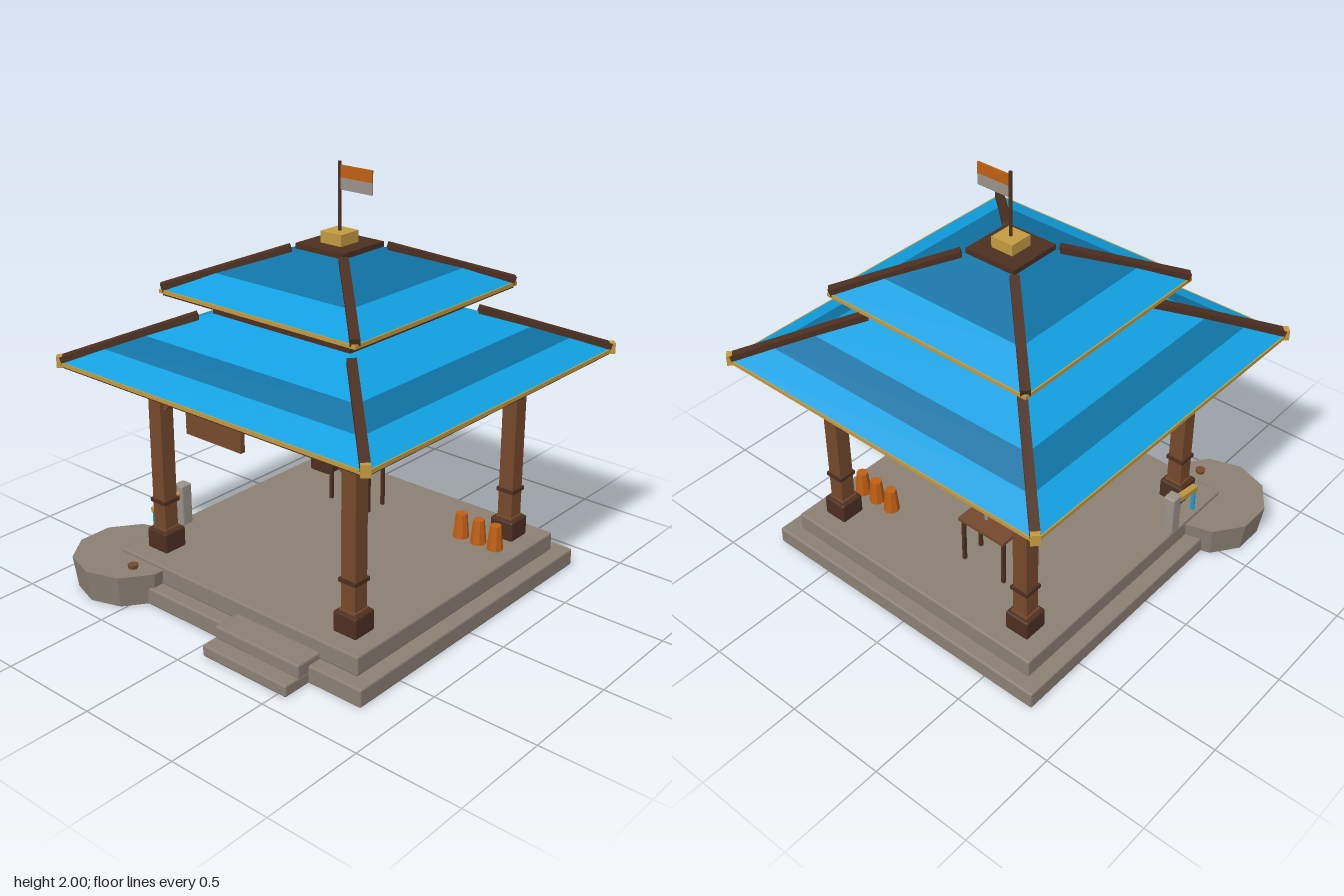
import * as THREE from 'three';
import { RoundedBoxGeometry } from 'three/addons/geometries/RoundedBoxGeometry.js';

const mat = (name, color) => new THREE.MeshStandardMaterial({ name, color, flatShading: true });

export function createModel() {
  const M = {
    stone: mat('stone', 0x8a7f73),
    paleStone: mat('pale stone', 0x9a928a),
    wood: mat('wood', 0x75492c),
    darkWood: mat('dark wood', 0x4c2f20),
    blue: mat('light blue roof', 0x109fdf),
    deepBlue: mat('deep blue roof', 0x0f72a3),
    gold: mat('gold', 0xc29a40),
    orange: mat('orange', 0xbf5f12),
  };
  const model = new THREE.Group();
  model.name = 'pavilion';

  // Everything symmetrical hangs on the pavilion axis
  const hall = new THREE.Group();
  hall.name = 'hall';
  hall.position.set(0.025, 0, -0.035);
  model.add(hall);

  const add = (parent, name, geo, material, x = 0, y = 0, z = 0) => {
    const mesh = new THREE.Mesh(geo, material);
    mesh.name = name;
    mesh.position.set(x, y, z);
    parent.add(mesh);
    return mesh;
  };
  // Box given by its width, depth, bottom and top
  const block = (parent, name, material, w, d, y0, y1, x = 0, z = 0) =>
    add(parent, name, new THREE.BoxGeometry(w, y1 - y0, d), material, x, (y0 + y1) / 2, z);
  const slab = (parent, name, material, w, d, y0, y1, x = 0, z = 0) =>
    add(parent, name, new RoundedBoxGeometry(w, y1 - y0, d, 1, 0.008), material, x, (y0 + y1) / 2, z);
  // Beam with a rectangular section between two points
  const bar = (parent, name, material, a, b, w, h) => {
    const p = new THREE.Vector3(...a), q = new THREE.Vector3(...b);
    const mesh = new THREE.Mesh(new THREE.BoxGeometry(w, h, p.distanceTo(q)), material);
    mesh.name = name;
    mesh.position.copy(p).add(q).multiplyScalar(0.5);
    mesh.lookAt(q);
    parent.add(mesh);
  };
  const round = (parent, name, material, rTop, rBottom, y0, y1, sides, x, z) =>
    add(parent, name, new THREE.CylinderGeometry(rTop, rBottom, y1 - y0, sides), material, x, (y0 + y1) / 2, z);

  // Platform and steps
  slab(hall, 'lowerPlatform', M.stone, 1.6, 1.6, 0, 0.085);
  slab(hall, 'upperPlatform', M.stone, 1.45, 1.46, 0.083, 0.175);
  slab(model, 'lowerStep', M.stone, 0.485, 0.3, 0, 0.055, 0.302, 0.758);
  slab(model, 'upperStep', M.stone, 0.485, 0.2, 0.05, 0.115, 0.302, 0.73);

  // Four posts with bases, collars, capitals and diagonal braces
  const P = 0.575;
  for (const sx of [-1, 1]) for (const sz of [-1, 1]) {
    const x = sx * P, z = sz * P;
    const post = new THREE.Group();
    post.name = 'post';
    hall.add(post);
    slab(post, 'postBase', M.darkWood, 0.125, 0.125, 0.175, 0.275, x, z);
    block(post, 'baseCollar', M.wood, 0.09, 0.09, 0.272, 0.286, x, z);
    block(post, 'postShaft', M.wood, 0.077, 0.077, 0.28, 1.0, x, z);
    block(post, 'postCollar', M.darkWood, 0.094, 0.094, 0.412, 0.43, x, z);
    block(post, 'lowerCapital', M.darkWood, 0.1, 0.1, 1.0, 1.035, x, z);
    block(post, 'upperCapital', M.darkWood, 0.128, 0.128, 1.03, 1.086, x, z);
    bar(post, 'brace', M.wood, [x - sx * 0.03, 0.89, z], [x - sx * 0.18, 1.035, z], 0.035, 0.032);
    bar(post, 'brace', M.wood, [x, 0.89, z - sz * 0.03], [x, 1.035, z - sz * 0.18], 0.035, 0.032);
  }
  for (const s of [-1, 1]) {
    block(hall, 'beam', M.darkWood, 2 * P, 0.07, 1.035, 1.084, 0, s * P);
    block(hall, 'beam', M.darkWood, 0.07, 2 * P, 1.035, 1.084, s * P, 0);
  }

  // Square sloping roof band between two half widths
  const band = (parent, material, r0, y0, r1, y1) => {
    const geo = new THREE.CylinderGeometry(r1 * Math.SQRT2, r0 * Math.SQRT2, y1 - y0, 4, 1, true);
    geo.rotateY(Math.PI / 4);
    add(parent, 'roofBand', geo, material, 0, (y0 + y1) / 2, 0);
  };
  // Roof tier: soffit, gold eave, coloured bands and four hip ridges
  const tier = (name, profile, ridge) => {
    const g = new THREE.Group();
    g.name = name;
    hall.add(g);
    const [r, y] = profile[0];
    block(g, 'soffit', M.darkWood, 2 * r - 0.01, 2 * r - 0.01, y - 0.029, y - 0.015);
    block(g, 'eaveTrim', M.gold, 2 * r + 0.012, 2 * r + 0.012, y - 0.018, y);
    for (let i = 0; i < profile.length - 1; i++)
      band(g, i % 2 ? M.deepBlue : M.blue, ...profile[i], ...profile[i + 1]);
    const [[a, ya], [b, yb]] = ridge;
    for (const sx of [-1, 1]) for (const sz of [-1, 1])
      bar(g, 'hipRidge', M.darkWood, [sx * a, ya, sz * a], [sx * b, yb, sz * b], 0.042, 0.036);
    return g;
  };
  const lower = tier('lowerRoof', [[0.885, 1.115], [0.755, 1.175], [0.625, 1.233], [0.4, 1.325]],
    [[0.88, 1.123], [0.445, 1.316]]);
  for (const sx of [-1, 1]) for (const sz of [-1, 1])
    block(lower, 'cornerTip', M.gold, 0.04, 0.04, 1.092, 1.144, sx * 0.879, sz * 0.879).rotation.y = Math.PI / 4;
  block(hall, 'roofNeck', M.darkWood, 0.795, 0.795, 1.28, 1.416);
  block(hall, 'neckTrim', M.gold, 0.815, 0.815, 1.393, 1.405);
  tier('upperRoof', [[0.557, 1.443], [0.4, 1.516], [0.12, 1.622]], [[0.555, 1.45], [0.15, 1.617]]);

  // Roof crown, pole and flag
  block(hall, 'roofCap', M.darkWood, 0.275, 0.275, 1.61, 1.64);
  block(hall, 'crown', M.gold, 0.118, 0.118, 1.64, 1.693);
  round(hall, 'flagPole', M.darkWood, 0.008, 0.008, 1.69, 2, 8, 0, 0);
  block(hall, 'flagUpper', M.orange, 0.176, 0.008, 1.93, 1.984, 0.094, 0);
  block(hall, 'flagLower', M.paleStone, 0.176, 0.008, 1.876, 1.93, 0.094, 0);

  // Hanging plank sign
  const sign = new THREE.Group();
  sign.name = 'hangingSign';
  model.add(sign);
  for (let i = 0; i < 3; i++)
    block(sign, 'signPlank', M.wood, 0.34, 0.025, 0.806 + i * 0.0435, 0.848 + i * 0.0435, -0.202, 0.54);
  for (const x of [-0.34, -0.065])
    round(sign, 'signRope', M.darkWood, 0.004, 0.004, 0.93, 1.04, 6, x, 0.54);

  // Table with a cup
  const table = new THREE.Group();
  table.name = 'table';
  model.add(table);
  block(table, 'tableTop', M.wood, 0.27, 0.155, 0.42, 0.436, -0.18, -0.413);
  for (const dx of [-0.12, 0.12]) for (const dz of [-0.056, 0.056])
    block(table, 'tableLeg', M.darkWood, 0.016, 0.016, 0.175, 0.422, -0.18 + dx, -0.413 + dz);
  round(table, 'cup', M.paleStone, 0.01, 0.01, 0.436, 0.477, 8, -0.15, -0.413);

  // Row of tapered stools
  for (const x of [0.44, 0.54, 0.635])
    round(model, 'stool', M.orange, 0.028, 0.04, 0.175, 0.297, 8, x, -0.448);

  // Rock basin with water spout
  round(model, 'basinRock', M.stone, 0.272, 0.25, 0, 0.158, 10, -0.67, 0.663);
  round(model, 'ladle', M.wood, 0.026, 0.022, 0.157, 0.176, 8, -0.535, 0.768);
  slab(model, 'spoutPost', M.paleStone, 0.06, 0.064, 0.17, 0.383, -0.67, 0.318);
  bar(model, 'spout', M.gold, [-0.67, 0.34, 0.31], [-0.67, 0.307, 0.51], 0.032, 0.028);
  round(model, 'waterStream', M.blue, 0.01, 0.011, 0.0, 0.3, 8, -0.67, 0.502);

  return model;
}
